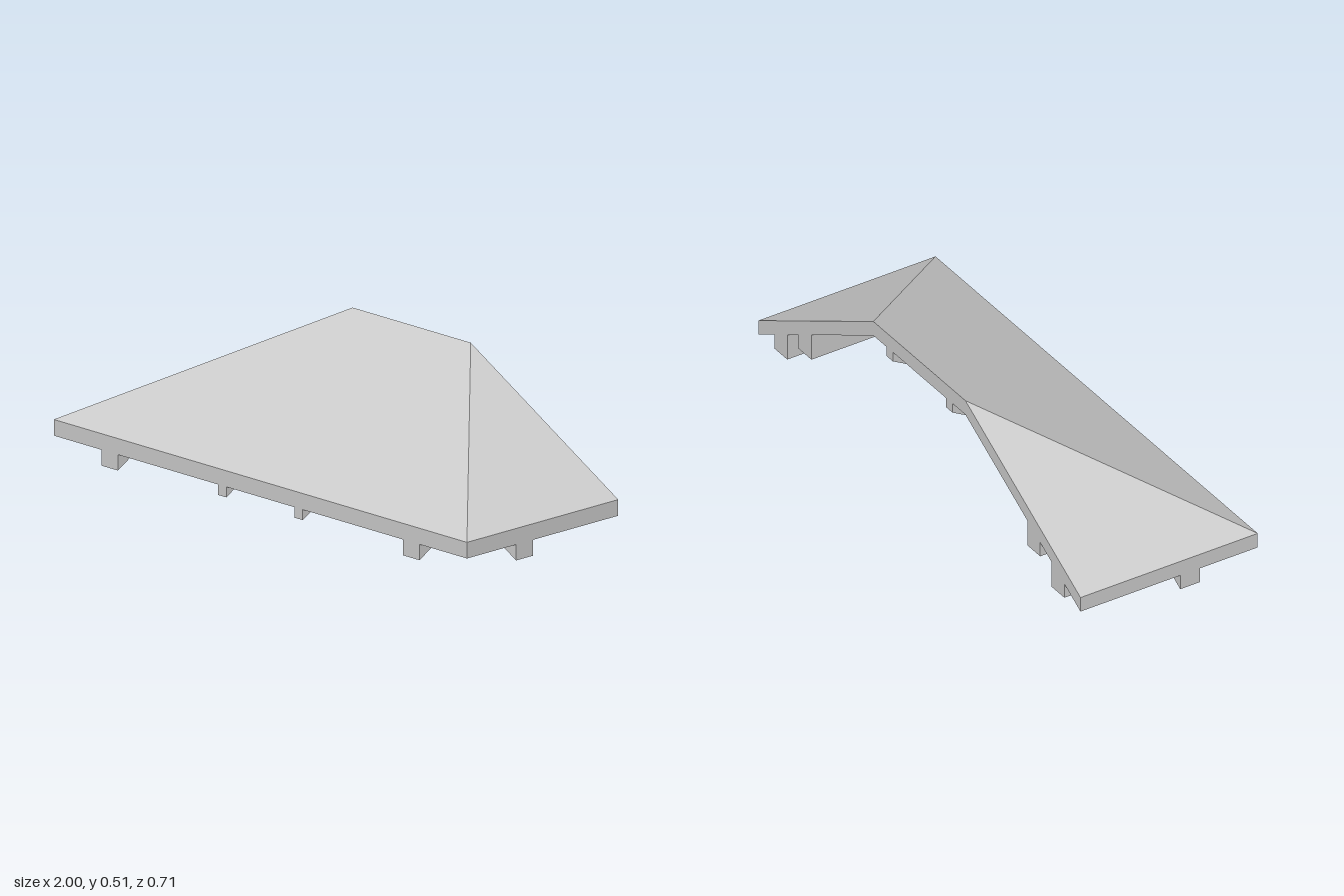
import * as THREE from 'three';

const HALF_X = 1, HALF_Z = 0.357;
const EAVE = 0.056;                    // underside of the roof slab at the eave
const SLAB = 0.057;                    // vertical slab thickness
const SLOPE = 0.399 / 0.714;
const under = d => EAVE + SLOPE * d;   // slab underside at distance d in from the eave

const material = new THREE.MeshStandardMaterial({ color: 0xcccccc, flatShading: true });

function addMesh(group, geometry, name) {
  const mesh = new THREE.Mesh(geometry, material);
  mesh.name = name;
  group.add(mesh);
  return mesh;
}

// Sweeps a four-point section [inset, y] round the three eaves with mitred corners.
// The section runs outer bottom, inner bottom, inner top, outer top.
function eaveSweep(section) {
  const rings = [[1, 0], [1, 1], [-1, 1], [-1, 0]].map(([side, front]) =>
    section.map(([d, y]) => [side * (HALF_X - d), y, front ? HALF_Z - d : -HALF_Z]));
  const pos = [];
  const quad = (a, b, c, d) => pos.push(...a, ...b, ...c, ...a, ...c, ...d);
  for (let i = 0; i < 3; i++) {
    for (let j = 0; j < 4; j++) {
      const k = (j + 1) % 4;
      quad(rings[i][j], rings[i + 1][j], rings[i + 1][k], rings[i][k]);
    }
  }
  quad(...rings[0]);
  quad(...[...rings[3]].reverse());
  const geometry = new THREE.BufferGeometry();
  geometry.setAttribute('position', new THREE.Float32BufferAttribute(pos, 3));
  geometry.computeVertexNormals();
  return geometry;
}

// A box sheared to follow the slope, with plumb-cut ends; its eave end is at z = 0
function rafterGeometry(width, depth, run) {
  const geometry = new THREE.BoxGeometry(width, depth, run).translate(0, -depth / 2, -run / 2);
  const p = geometry.attributes.position;
  for (let i = 0; i < p.count; i++) p.setY(i, p.getY(i) - SLOPE * p.getZ(i));
  geometry.computeVertexNormals();
  return geometry;
}

export function createModel() {
  const model = new THREE.Group();
  model.name = 'hipRoof';

  // Roof slab, cut open at the back
  const run = 2 * HALF_Z;
  addMesh(model, eaveSweep([
    [0, EAVE], [run, under(run)], [run, under(run) + SLAB], [0, EAVE + SLAB],
  ]), 'roofSlab');

  // Two rings of beams under the slab: level bottom, top following the slope
  const beams = [['wallPlate', 0.1, 0.056], ['purlin', 0.25, 0.14]];
  for (const [name, d, bottom] of beams) {
    const inner = d + 0.08;
    addMesh(model, eaveSweep([
      [d, bottom], [inner, bottom], [inner, under(inner)], [d, under(d)],
    ]), name);
  }

  // Rafters, mirrored left and right
  const thick = rafterGeometry(0.08, EAVE, 0.29);
  const thin = rafterGeometry(0.04, 0.037, run);
  for (const s of [1, -1]) {
    addMesh(model, thick, 'frontRafter').position.set(s * 0.73, EAVE, HALF_Z);
    addMesh(model, thin, 'longRafter').position.set(s * 0.185, EAVE, HALF_Z);
    const side = addMesh(model, thick, 'sideRafter');
    side.position.set(s * HALF_X, EAVE, 0.085);
    side.rotation.y = s * Math.PI / 2;
  }
  return model;
}
